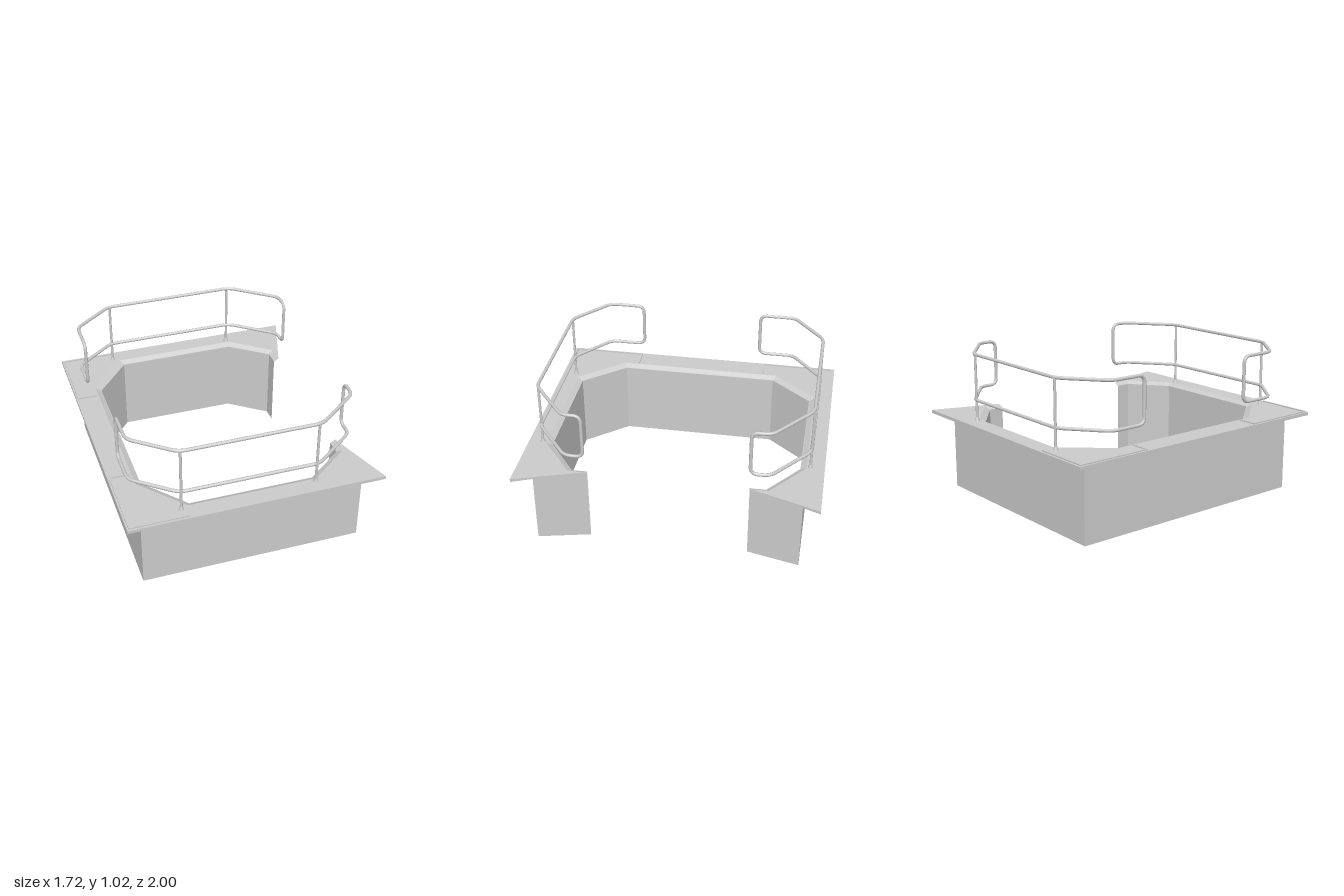
import * as THREE from 'three';

const grey = new THREE.MeshStandardMaterial({ color: 0xcccccc });
const V = (x, y, z) => new THREE.Vector3(x, y, z);

// Half of the inner outline (x, z): lower edge, and the set-back upper edge of the bevelled lip
const LIP_LOW = [[0.67, 0.535], [0.67, 0.64], [0.41, 0.84], [-0.42, 0.84], [-0.66, 0.555]];
const LIP_TOP = [[0.705, 0.535], [0.705, 0.66], [0.425, 0.88], [-0.44, 0.88], [-0.7, 0.575]];

const addMesh = (parent, name, geometry, x = 0, y = 0, z = 0) => {
  const mesh = new THREE.Mesh(geometry, grey);
  mesh.name = name;
  mesh.position.set(x, y, z);
  parent.add(mesh);
  return mesh;
};

// C-shaped prism: rectangular outside, faceted inside, open towards +x
function cPrism(outX, outZ, height) {
  const half = [[-outX, outZ], [outX, outZ], ...LIP_LOW];
  const mirrored = half.map(([x, z]) => [x, -z]).reverse();
  const shape = new THREE.Shape([...half, ...mirrored].map(([x, z]) => new THREE.Vector2(x, z)));
  return new THREE.ExtrudeGeometry(shape, { depth: height, bevelEnabled: false }).rotateX(-Math.PI / 2);
}

// Counter slab: inner edge of the upper face pulled back to form a sloped lip
function slabGeometry(height) {
  const g = cPrism(0.86, 1, height), p = g.attributes.position;
  for (let i = 0; i < p.count; i++) {
    if (p.getY(i) < height / 2) continue;
    const k = LIP_LOW.findIndex(([x, z]) =>
      Math.abs(x - p.getX(i)) < 1e-4 && Math.abs(z - Math.abs(p.getZ(i))) < 1e-4);
    if (k < 0) continue;
    p.setX(i, LIP_TOP[k][0]);
    p.setZ(i, Math.sign(p.getZ(i)) * LIP_TOP[k][1]);
  }
  g.computeVertexNormals();
  return g;
}

// Closed polyline with rounded corners
function roundedLoop(points, radius) {
  const path = new THREE.CurvePath(), n = points.length;
  const toward = (a, b) => a.clone().add(b.clone().sub(a).setLength(radius));
  for (let i = 0; i < n; i++) {
    const prev = points[(i + n - 1) % n], cur = points[i], next = points[(i + 1) % n];
    path.add(new THREE.QuadraticBezierCurve3(toward(cur, prev), cur, toward(cur, next)));
    path.add(new THREE.LineCurve3(toward(cur, next), toward(next, cur)));
  }
  return path;
}

// Guard rail on one side (s = 1 or -1): a looped tube carried by two posts
function guardRail(s) {
  const group = new THREE.Group();
  group.name = s > 0 ? 'frontGuardRail' : 'backGuardRail';
  const plan = [[-0.773, 0.435], [-0.773, 0.685], [-0.5, 0.905], [0.43, 0.905], [0.733, 0.665], [0.733, 0.54]];
  const upper = plan.map(([x, z]) => V(x, 1.01, s * z));
  const lower = plan.map(([x, z]) => V(x, 0.697, s * z)).reverse();
  const loop = roundedLoop([...upper, ...lower], 0.05);
  addMesh(group, 'railLoop', new THREE.TubeGeometry(loop, 320, 0.0115, 8, true));
  for (const x of [-0.49, 0.41]) {
    addMesh(group, 'post', new THREE.CylinderGeometry(0.009, 0.009, 0.455, 10), x, 0.7825, s * 0.905);
    addMesh(group, 'postFoot', new THREE.CylinderGeometry(0.01, 0.018, 0.025, 12), x, 0.5675, s * 0.905);
  }
  return group;
}

// Thin raised trim around a rear corner of the counter
function cornerTrim(s) {
  const group = new THREE.Group();
  group.name = s > 0 ? 'frontCornerTrim' : 'backCornerTrim';
  const h = 0.008, w = 0.01, y = 0.555 + h / 2;
  addMesh(group, 'sideTrim', new THREE.BoxGeometry(w, h, 0.515), -0.843, y, s * 0.7275);
  addMesh(group, 'longTrim', new THREE.BoxGeometry(0.39, h, w), -0.653, y, s * 0.98);
  addMesh(group, 'endTrim', new THREE.BoxGeometry(0.135, h, w), -0.78, y, s * 0.472);
  return group;
}

export function createModel() {
  const model = new THREE.Group();
  model.name = 'railedCounter';
  addMesh(model, 'baseWall', cPrism(0.75, 0.885, 0.535));
  addMesh(model, 'counterSlab', slabGeometry(0.022), 0, 0.533, 0);
  for (const s of [1, -1]) model.add(guardRail(s), cornerTrim(s));
  return model;
}
